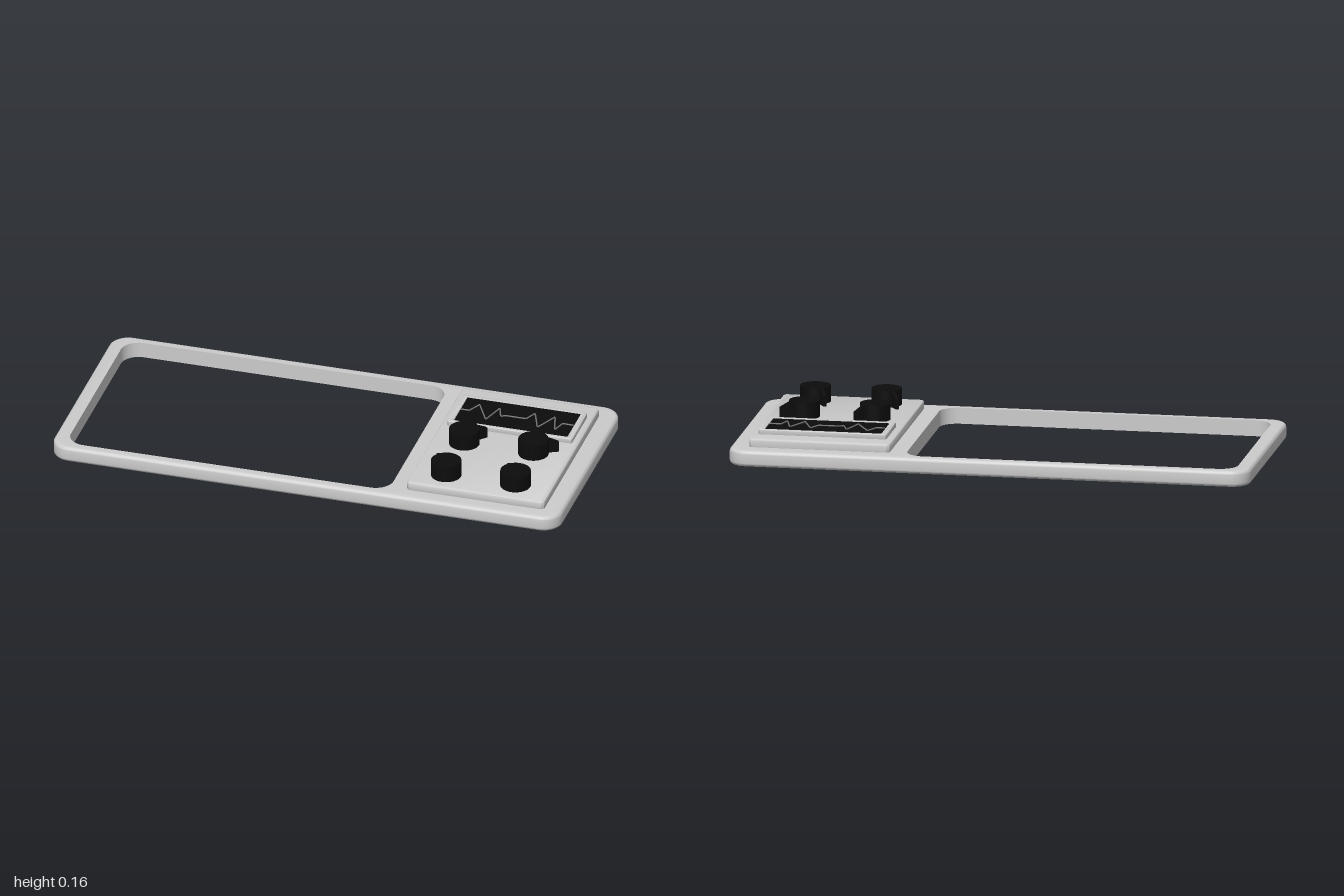
import * as THREE from 'three';
import { toCreasedNormals } from 'three/addons/utils/BufferGeometryUtils.js';

const grey = new THREE.MeshStandardMaterial({ color: 0xcccccc });
const black = new THREE.MeshStandardMaterial({ color: 0x0c0c0c });
const traceGrey = new THREE.MeshStandardMaterial({ color: 0x777777 });

// Rounded rectangle outline; z becomes -y of the drawing plane.
function roundedRect(target, { x0, x1, z0, z1, r }) {
  const h = Math.PI / 2;
  target.absarc(x1 - r, -z0 - r, r, 0, h);
  target.absarc(x0 + r, -z0 - r, r, h, 2 * h);
  target.absarc(x0 + r, -z1 + r, r, 2 * h, 3 * h);
  target.absarc(x1 - r, -z1 + r, r, 3 * h, 4 * h);
  target.closePath();
  return target;
}

// Plate from y0 to y1 with rounded outer edges and an optional straight-walled opening.
function plate(name, rect, y0, y1, bevel, hole) {
  const { x0, x1, z0, z1, r } = rect;
  const shape = roundedRect(new THREE.Shape(), {
    x0: x0 + bevel, x1: x1 - bevel, z0: z0 + bevel, z1: z1 - bevel, r: r - bevel,
  });
  if (hole) shape.holes.push(roundedRect(new THREE.Path(), hole));
  let geo = new THREE.ExtrudeGeometry(shape, {
    depth: y1 - y0 - 2 * bevel, bevelEnabled: true, bevelSize: bevel,
    bevelThickness: bevel, bevelSegments: 4, curveSegments: 8,
  });
  geo.rotateX(-Math.PI / 2).translate(0, y0 + bevel, 0);
  if (hole) {
    // Flatten the bevel of the opening back onto its outline
    const pos = geo.attributes.position;
    const m = bevel * 0.2 + 0.0005;
    for (let i = 0; i < pos.count; i++) {
      const x = pos.getX(i), z = pos.getZ(i);
      if (x < hole.x0 - m || x > hole.x1 + m || z < hole.z0 - m || z > hole.z1 + m) continue;
      const cx = THREE.MathUtils.clamp(x, hole.x0 + hole.r, hole.x1 - hole.r);
      const cz = THREE.MathUtils.clamp(z, hole.z0 + hole.r, hole.z1 - hole.r);
      const d = Math.hypot(x - cx, z - cz);
      if (d < 1e-6) continue;
      pos.setX(i, cx + ((x - cx) / d) * hole.r);
      pos.setZ(i, cz + ((z - cz) / d) * hole.r);
    }
  }
  geo = toCreasedNormals(geo, 0.6);
  const mesh = new THREE.Mesh(geo, grey);
  mesh.name = name;
  return mesh;
}

// Round knob with a thin sloped pointer aimed at angle (0 = +x, positive towards the back)
function knob(name, x, z, angle) {
  const g = new THREE.Group();
  g.name = name;
  const height = 0.064, radius = 0.058;
  const cap = new THREE.Mesh(new THREE.CylinderGeometry(radius, radius, height, 32), black);
  cap.name = 'knobCap';
  cap.position.y = height / 2;
  const side = new THREE.Shape([[0, 0], [0.097, 0], [0.097, 0.042], [0.055, height - 0.001], [0, height - 0.001]]
    .map(([a, b]) => new THREE.Vector2(a, b)));
  const pointerGeo = new THREE.ExtrudeGeometry(side, { depth: 0.012, bevelEnabled: false });
  const pointer = new THREE.Mesh(pointerGeo.translate(0, 0, -0.006), black);
  pointer.name = 'knobPointer';
  g.add(cap, pointer);
  g.position.set(x, 0.093, z);
  g.rotation.y = angle;
  return g;
}

export function createModel() {
  const model = new THREE.Group();
  model.name = 'controlFrame';

  // Base frame with the large opening
  model.add(plate('baseFrame', { x0: -1, x1: 1, z0: -0.44, z1: 0.44, r: 0.075 }, 0, 0.062, 0.014,
    { x0: -0.945, x1: 0.325, z0: -0.403, z1: 0.403, r: 0.07 }));

  // Raised control panel
  model.add(plate('controlPanel', { x0: 0.388, x1: 0.93, z0: -0.37, z1: 0.38, r: 0.018 }, 0.055, 0.094, 0.009));

  // Display bezel, screen and waveform
  model.add(plate('displayBezel', { x0: 0.415, x1: 0.905, z0: -0.29, z1: -0.077, r: 0.008 }, 0.09, 0.113, 0.003,
    { x0: 0.434, x1: 0.886, z0: -0.277, z1: -0.09, r: 0.002 }));
  const screen = new THREE.Mesh(new THREE.BoxGeometry(0.456, 0.016, 0.191), black);
  screen.name = 'screen';
  screen.position.set(0.66, 0.102, -0.1835);
  model.add(screen);

  const wave = [[0.438, -0.18], [0.472, -0.18], [0.497, -0.233], [0.55, -0.132], [0.578, -0.228], [0.598, -0.17],
    [0.615, -0.18], [0.695, -0.18], [0.717, -0.228], [0.754, -0.13], [0.797, -0.223], [0.822, -0.13],
    [0.838, -0.184], [0.882, -0.182]].map(([x, z]) => new THREE.Vector3(x, 0.1115, z));
  const path = new THREE.CurvePath();
  for (let i = 1; i < wave.length; i++) path.add(new THREE.LineCurve3(wave[i - 1], wave[i]));
  const trace = new THREE.Mesh(new THREE.TubeGeometry(path, 160, 0.003, 6), traceGrey);
  trace.name = 'waveform';
  model.add(trace);

  // Four knobs, each turned to its own setting
  [
    ['backRightKnob', 0.515, 0.033, 0.8],
    ['backLeftKnob', 0.787, 0.033, 0.47],
    ['frontRightKnob', 0.517, 0.282, 2.18],
    ['frontLeftKnob', 0.79, 0.282, 2.13],
  ].forEach((k) => model.add(knob(...k)));

  return model;
}
